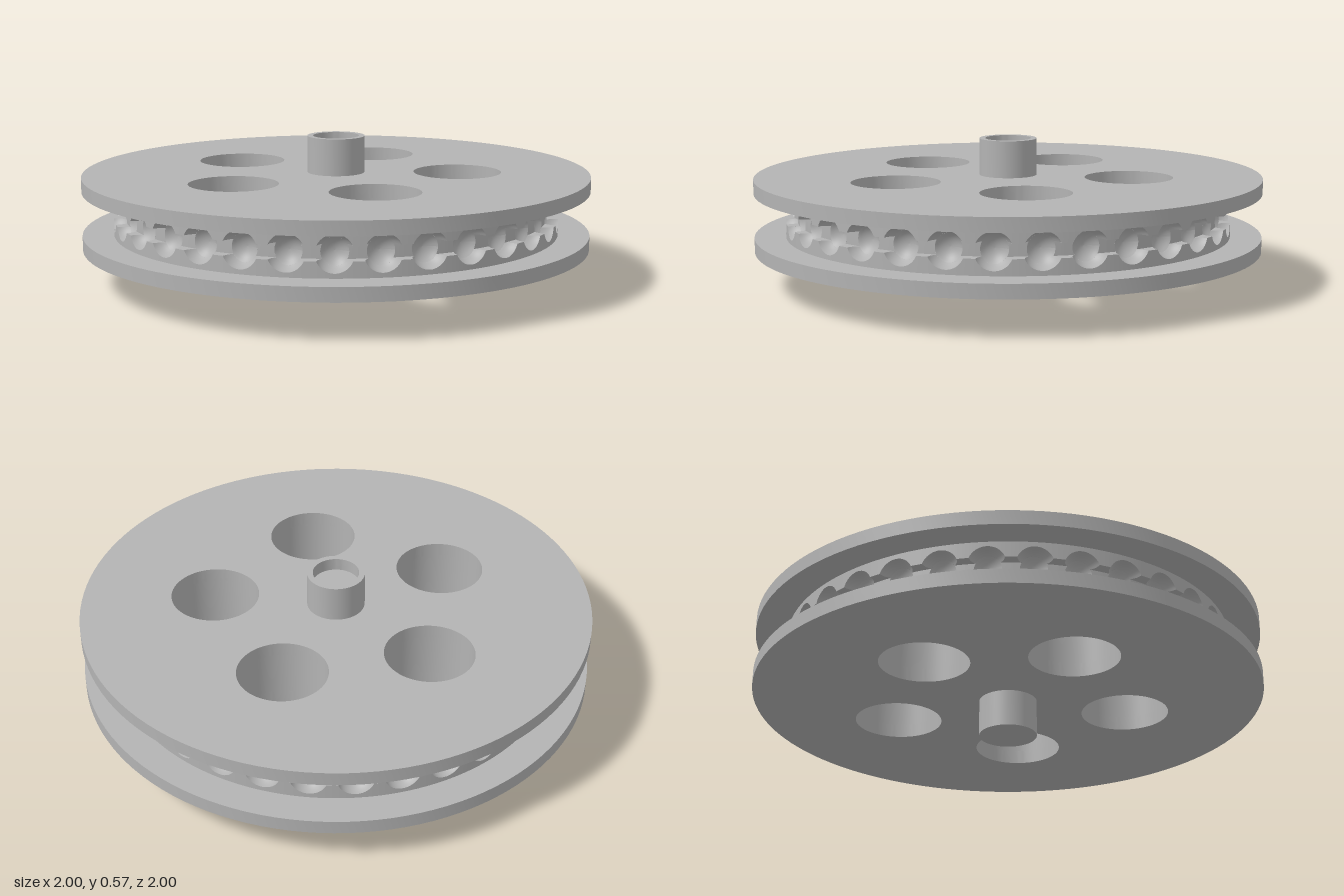
import * as THREE from 'three';
import { mergeGeometries, toCreasedNormals } from 'three/addons/utils/BufferGeometryUtils.js';
import { ParametricGeometry } from 'three/addons/geometries/ParametricGeometry.js';

const POCKETS = 32, HOLES = 5;
const MID = 0.2875;              // height of the wheel's middle plane
const RIM = 0.877, HALF = 0.0875; // radius and half height of the rim
const R = 0.07;                  // pocket radius
const G = 0.027, D = 0.045;      // half height and depth of the groove linking pockets
const HOLE_R = 0.173, HOLE_AT = 0.48;
const lerp = THREE.MathUtils.lerp;

// Bends a flat patch (s along the rim, y, depth inward) around the rim
function patch(f, nu, nv) {
  const geo = new ParametricGeometry((u, v, p) => {
    const [s, y, d] = f(u, v);
    const a = s / RIM;
    p.set((RIM - d) * Math.sin(a), MID + y, (RIM - d) * Math.cos(a));
  }, nu, nv);
  geo.computeVertexNormals();
  return geo;
}

// One rim segment: a round pocket, the groove on both sides and the surface around them
function rimSegment() {
  const w = Math.PI * RIM / POCKETS;
  const rc = Math.sqrt(R * R - D * D);  // pocket radius at groove depth
  const sIn = Math.sqrt(rc * rc - G * G), sOut = Math.sqrt(R * R - G * G);
  const depth = rho => Math.sqrt(Math.max(0, R * R - rho * rho));
  const parts = [];
  // deep bowl of the pocket
  parts.push(patch((u, v) => {
    const a = u * Math.PI * 2, rho = R * Math.sin(v * Math.asin(rc / R));
    return [rho * Math.cos(a), rho * Math.sin(a), depth(rho)];
  }, 32, 6));
  for (const m of [1, -1]) {
    // pocket wall above and below the groove
    parts.push(patch((u, v) => {
      const rho = R * Math.sin(lerp(Math.asin(rc / R), Math.PI / 2, v));
      const a0 = Math.asin(G / rho), a = lerp(a0, Math.PI - a0, u);
      return [rho * Math.cos(a), m * rho * Math.sin(a), depth(rho)];
    }, 20, 6));
    // rim surface above and below the pocket
    parts.push(patch((u, v) => {
      const a0 = Math.asin(G / R), a = lerp(a0, Math.PI - a0, u);
      return [R * Math.cos(a), m * lerp(R * Math.sin(a), HALF, v), 0];
    }, 20, 1));
    // groove floor
    parts.push(patch((u, v) => {
      const y = lerp(-G, G, v);
      return [m * lerp(Math.sqrt(rc * rc - y * y), w, u), y, D];
    }, 2, 6));
    for (const n of [1, -1]) {
      // rim surface beside the pocket
      parts.push(patch((u, v) => [n * lerp(sOut, w, u), m * lerp(G, HALF, v), 0], 2, 1));
      // groove side walls
      parts.push(patch((u, v) => {
        const s = lerp(sIn, sOut, u);
        return [n * s, m * G, lerp(depth(Math.hypot(s, G)), D, v)];
      }, 6, 1));
      parts.push(patch((u, v) => [n * lerp(sOut, w, u), m * G, D * v], 2, 1));
    }
  }
  return mergeGeometries(parts);
}

// Disc with a ring of round holes
function flangeGeometry(thickness) {
  const shape = new THREE.Shape().absarc(0, 0, 1, 0, Math.PI * 2);
  for (let i = 0; i < HOLES; i++) {
    const a = i / HOLES * Math.PI * 2;
    shape.holes.push(new THREE.Path().absarc(HOLE_AT * Math.cos(a), HOLE_AT * Math.sin(a), HOLE_R, 0, Math.PI * 2, true));
  }
  const geo = new THREE.ExtrudeGeometry(shape, { depth: thickness, bevelEnabled: false, curveSegments: 60 });
  geo.rotateX(-Math.PI / 2);
  return toCreasedNormals(geo, 0.6);
}

export function createModel() {
  const model = new THREE.Group();
  model.name = 'ballChainPulley';
  const grey = new THREE.MeshStandardMaterial({ color: 0xb3b3b3, side: THREE.DoubleSide });
  grey.name = 'grey';
  const add = (name, geo, parent = model) => {
    const mesh = new THREE.Mesh(geo, grey);
    mesh.name = name;
    parent.add(mesh);
    return mesh;
  };

  // Two flanges
  const flange = flangeGeometry(0.055);
  add('lowerFlange', flange).position.y = MID - HALF - 0.055;
  add('upperFlange', flange).position.y = MID + HALF;

  // Pocketed rim
  const rim = new THREE.Group();
  rim.name = 'pocketedRim';
  model.add(rim);
  const segment = rimSegment();
  for (let i = 0; i < POCKETS; i++) {
    add('rimSegment', segment, rim).rotation.y = i / POCKETS * Math.PI * 2;
  }

  // Walls of the lightening holes between the flanges
  const wall = new THREE.CylinderGeometry(HOLE_R, HOLE_R, HALF * 2, 120, 1, true);
  for (let i = 0; i < HOLES; i++) {
    const a = i / HOLES * Math.PI * 2;
    add('holeWall', wall).position.set(HOLE_AT * Math.cos(a), MID, HOLE_AT * Math.sin(a));
  }

  // Hub with a shallow recess in its top
  const profile = [[0, 0], [0.113, 0], [0.113, 0.575], [0.09, 0.575], [0.09, 0.525], [0, 0.525]];
  const hub = new THREE.LatheGeometry(profile.map(p => new THREE.Vector2(...p)), 64);
  add('hub', toCreasedNormals(hub, 0.6));

  return model;
}
